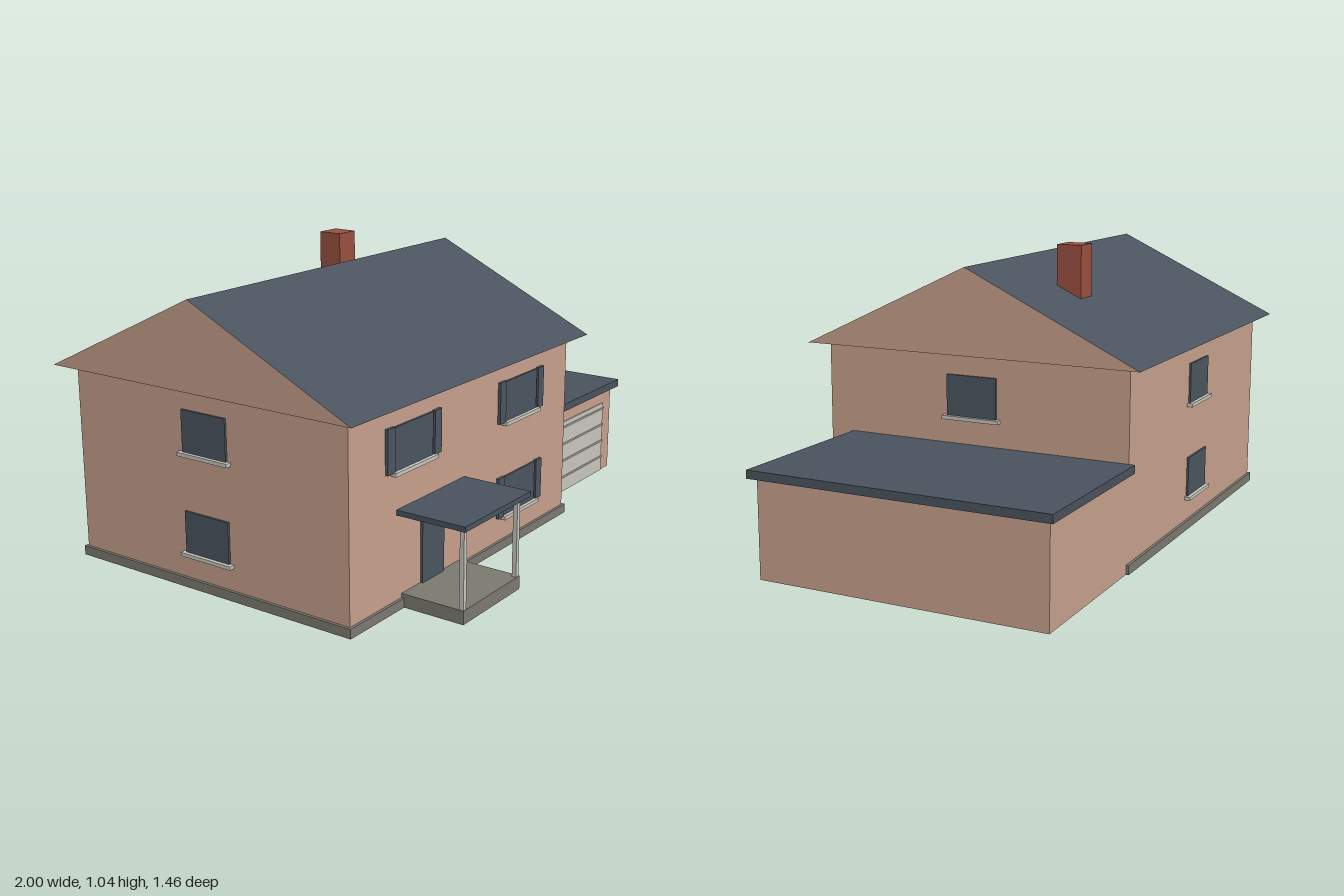
import * as THREE from 'three';

const mat = (name, color) => {
  const m = new THREE.MeshStandardMaterial({ color });
  m.name = name;
  return m;
};

export function createModel() {
  const wall = mat('wall render', 0xc8a18d);
  const slate = mat('roof slate', 0x4a535e);
  const glass = mat('window glass', 0x4b555f);
  const trim = mat('pale trim', 0xc8c7bf);
  const stone = mat('foundation stone', 0x7c7a70);
  const brick = mat('chimney brick', 0x9a5040);

  const house = new THREE.Group();
  house.name = 'house';

  // Box given by its min and max on each axis
  const box = (parent, name, material, [x0, x1], [y0, y1], [z0, z1]) => {
    const mesh = new THREE.Mesh(new THREE.BoxGeometry(x1 - x0, y1 - y0, z1 - z0), material);
    mesh.position.set((x0 + x1) / 2, (y0 + y1) / 2, (z0 + z1) / 2);
    mesh.name = name;
    parent.add(mesh);
    return mesh;
  };

  // Main block on its foundation
  box(house, 'foundation', stone, [-0.955, 0.385], [0, 0.033], [-0.685, 0.485]);
  box(house, 'mainWalls', wall, [-0.945, 0.375], [0.002, 0.692], [-0.675, 0.475]);

  // Gabled roof: slate slopes and underside, rendered gable ends
  const gable = new THREE.Shape();
  gable.moveTo(-0.53, 0.69);
  gable.lineTo(0.73, 0.69);
  gable.lineTo(0.1, 0.99);
  gable.closePath();
  const roofGeo = new THREE.ExtrudeGeometry(gable, { depth: 1.433, bevelEnabled: false });
  roofGeo.rotateY(Math.PI / 2); // shape x becomes -z, depth becomes +x
  roofGeo.translate(-1, 0, 0);
  const roof = new THREE.Mesh(roofGeo, [wall, slate]);
  roof.name = 'gabledRoof';
  house.add(roof);

  box(house, 'chimney', brick, [0, 0.092], [0.75, 1.045], [-0.373, -0.282]);

  // Windows, built facing +z and then turned onto a wall
  const addWindow = (name, x, y, z, turn, shuttered) => {
    const g = new THREE.Group();
    g.name = name;
    const half = shuttered ? 0.104 : 0.094;
    box(g, 'pane', glass, [-half, half], [0, 0.145], [-0.002, 0.007]);
    box(g, 'sill', trim, [-half - 0.014, half + 0.014], [-0.011, 0.002], [-0.002, 0.02]);
    if (shuttered) {
      for (const s of [-1, 1]) {
        box(g, 'shutter', glass, [s * 0.1285 - 0.019, s * 0.1285 + 0.019], [0, 0.148], [-0.002, 0.011]);
      }
    }
    g.position.set(x, y, z);
    g.rotation.y = turn;
    house.add(g);
  };
  const upper = 0.468, lower = 0.122;
  addWindow('frontWindow', -0.612, upper, 0.475, 0, true);
  addWindow('frontWindow', 0.046, upper, 0.475, 0, true);
  addWindow('frontWindow', 0.046, lower, 0.475, 0, true);
  addWindow('leftWindow', 0.375, upper, -0.097, Math.PI / 2, false);
  for (const y of [upper, lower]) {
    addWindow('backWindow', -0.285, y, -0.675, Math.PI, false);
    addWindow('rightWindow', -0.945, y, -0.1, -Math.PI / 2, false);
  }

  // Front door and porch
  box(house, 'frontDoor', glass, [-0.568, -0.442], [0.047, 0.272], [0.473, 0.484]);
  box(house, 'doorLintel', trim, [-0.588, -0.422], [0.272, 0.287], [0.473, 0.495]);
  box(house, 'porchSlab', stone, [-0.673, -0.333], [0, 0.047], [0.475, 0.71]);
  box(house, 'porchRoof', slate, [-0.7, -0.308], [0.32, 0.338], [0.473, 0.73]);
  for (const x of [-0.663, -0.345]) {
    box(house, 'porchPost', trim, [x - 0.008, x + 0.008], [0.045, 0.322], [0.692, 0.708]);
  }

  // Side garage with flat roof
  box(house, 'garageWalls', wall, [0.373, 0.975], [0, 0.345], [-0.675, 0.363]);
  box(house, 'garageRoof', slate, [0.373, 1], [0.343, 0.372], [-0.695, 0.386]);
  box(house, 'garageDoor', trim, [0.45, 0.905], [0.001, 0.29], [0.361, 0.368]);
  for (let i = 0; i < 4; i++) {
    const y = 0.062 + i * 0.069;
    box(house, 'garageDoorRib', trim, [0.45, 0.905], [y - 0.003, y + 0.003], [0.366, 0.373]);
  }

  return house;
}
